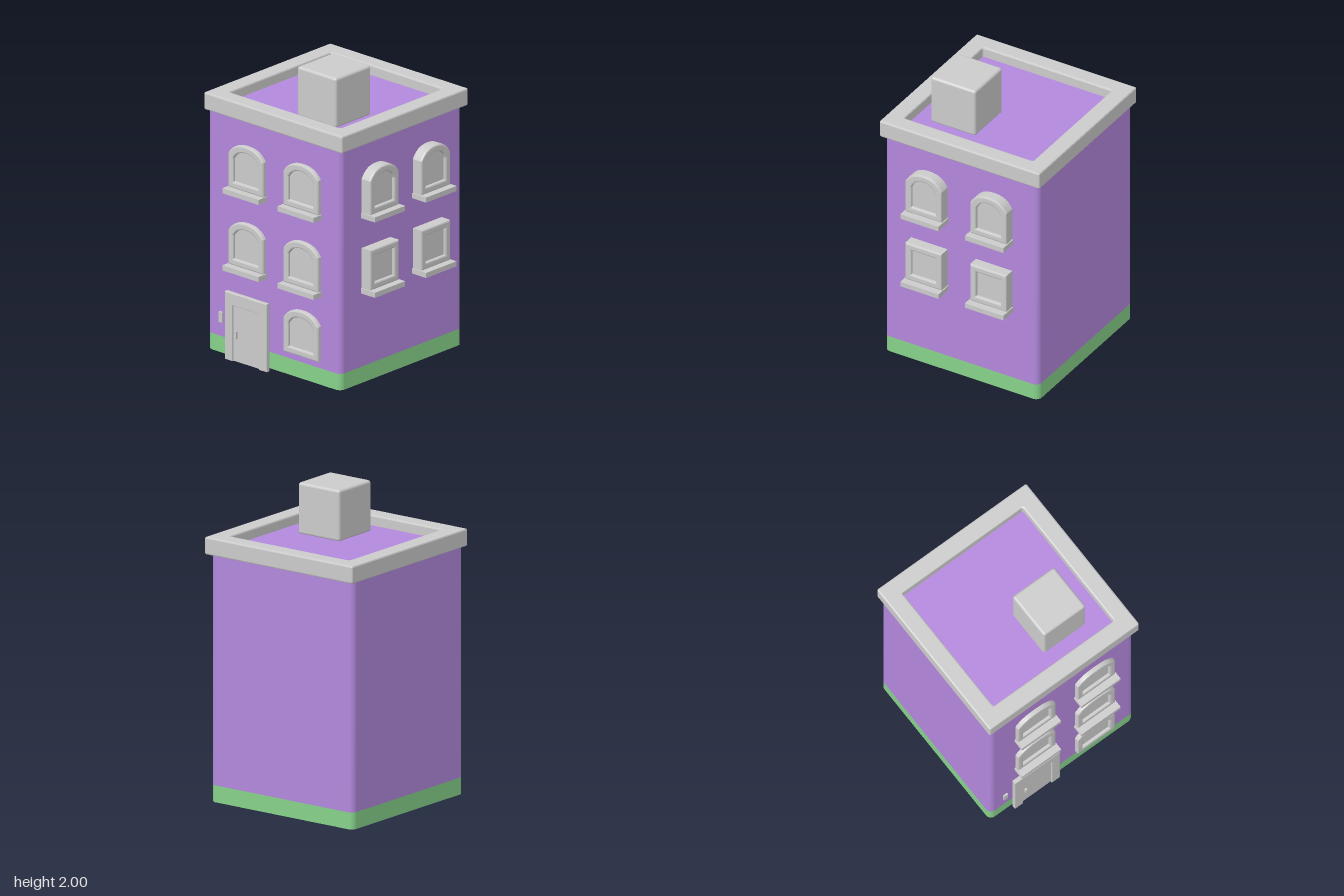
import * as THREE from 'three';
import { RoundedBoxGeometry } from 'three/addons/geometries/RoundedBoxGeometry.js';

const grey = new THREE.MeshStandardMaterial({ color: 0xcccccc });
const purple = new THREE.MeshStandardMaterial({ color: 0xb388dd, side: THREE.DoubleSide });
const green = new THREE.MeshStandardMaterial({ color: 0x86d18a, side: THREE.DoubleSide });

function add(parent, name, geometry, material, x = 0, y = 0, z = 0) {
  const mesh = new THREE.Mesh(geometry, material);
  mesh.name = name;
  mesh.position.set(x, y, z);
  parent.add(mesh);
  return mesh;
}

// Box given by its limits on each axis
function addBox(parent, name, [x0, x1], [y0, y1], [z0, z1], material = grey) {
  return add(parent, name, new THREE.BoxGeometry(x1 - x0, y1 - y0, z1 - z0), material,
    (x0 + x1) / 2, (y0 + y1) / 2, (z0 + z1) / 2);
}

// Rounded rectangle centred on the origin
function roundedRect(w, d, r) {
  const s = new THREE.Shape(), a = w / 2 - r, b = d / 2 - r, q = Math.PI / 2;
  s.absarc(a, b, r, 0, q);
  s.absarc(-a, b, r, q, 2 * q);
  s.absarc(-a, -b, r, 2 * q, 3 * q);
  s.absarc(a, -b, r, 3 * q, 4 * q);
  s.closePath();
  return s;
}

// Rectangle standing on y0 whose top bulges by rise
function archShape(w, y0, y1, rise) {
  const s = new THREE.Shape(), h = w / 2, spring = y1 - rise;
  s.moveTo(-h, y0);
  s.lineTo(h, y0);
  s.lineTo(h, spring);
  if (rise > 0) {
    s.bezierCurveTo(h * 0.75, spring + rise * 0.8, h * 0.4, y1, 0, y1);
    s.bezierCurveTo(-h * 0.4, y1, -h * 0.75, spring + rise * 0.8, -h, spring);
  } else s.lineTo(-h, spring);
  s.closePath();
  return s;
}

// Extrusion from z = back to z = front, bevelled inside the outline
function slab(shape, back, front, bevel) {
  const g = new THREE.ExtrudeGeometry(shape, {
    depth: front - back - 2 * bevel, bevelEnabled: bevel > 0, bevelSize: bevel,
    bevelThickness: bevel, bevelOffset: -bevel, bevelSegments: 2, curveSegments: 10,
  });
  return g.translate(0, 0, back + bevel);
}

// Open ring of wall around a rounded rectangle
function wallRing(outline, y0, y1) {
  const pts = outline.getPoints(6), pos = [], idx = [];
  pts.pop();
  const n = pts.length;
  pts.forEach((p) => pos.push(p.x, y0, -p.y, p.x, y1, -p.y));
  for (let i = 0; i < n; i++) {
    const a = 2 * i, b = 2 * ((i + 1) % n);
    idx.push(a, b, b + 1, a, b + 1, a + 1);
  }
  const g = new THREE.BufferGeometry();
  g.setAttribute('position', new THREE.Float32BufferAttribute(pos, 3));
  g.setIndex(idx);
  g.computeVertexNormals();
  return g;
}

// Window facing +z with the front of its frame at z = 0
function makeWindow(name, { w, h, innerW, innerTop, rise, innerRise, sill }) {
  const win = new THREE.Group();
  win.name = name;
  const frame = archShape(w, 0, h, rise);
  const opening = archShape(innerW, 0.045, innerTop, innerRise);
  frame.holes.push(opening);
  add(win, 'windowFrame', slab(frame, -0.12, 0, 0.01), grey);
  add(win, 'windowPane', slab(archShape(innerW + 0.02, 0.035, innerTop + 0.01, innerRise), -0.11, -0.02, 0), grey);
  if (sill) addBox(win, 'windowSill', [-w / 2 - 0.007, w / 2 + 0.007], [-0.032, 0.002], [-0.12, 0.045]);
  return win;
}

export function createModel() {
  const model = new THREE.Group();
  model.name = 'building';
  const cx = -0.055, cz = -0.025;

  // Hollow walls with a coloured base band, open below
  const outline = roundedRect(1.13, 1.13, 0.04);
  add(model, 'walls', wallRing(outline, 0.13, 1.67), purple, cx, 0, cz);
  add(model, 'baseBand', wallRing(outline, 0.02, 0.13), green, cx, 0, cz);
  const roof = new THREE.ShapeGeometry(outline, 6).rotateX(-Math.PI / 2);
  add(model, 'roof', roof, purple, cx, 1.67, cz);

  // Cornice frame around the roof
  const rim = roundedRect(1.175, 1.175, 0.012);
  rim.holes.push(roundedRect(0.945, 0.945, 0.012));
  const cornice = slab(rim, 0, 0.115, 0.01).rotateX(-Math.PI / 2);
  add(model, 'cornice', cornice, grey, -0.047, 1.622, -0.027);

  // Rooftop block
  add(model, 'roofBlock', new RoundedBoxGeometry(0.33, 0.335, 0.33, 3, 0.018), grey, 0.122, 1.8325, 0.175);

  // Front windows: two upper rows and one beside the door
  const frontStyle = { w: 0.295, h: 0.303, innerW: 0.21, innerTop: 0.257, rise: 0.07, innerRise: 0.055 };
  for (const [x, y, sill] of [[-0.27, 1.16, true], [0.198, 1.16, true],
    [-0.27, 0.643, true], [0.198, 0.643, true], [0.198, 0.178, false]]) {
    const win = makeWindow('frontWindow', { ...frontStyle, sill });
    win.position.set(x, y, 0.57);
    model.add(win);
  }

  // Side windows: arched above, square below
  const arched = { w: 0.267, h: 0.303, innerW: 0.18, innerTop: 0.257, rise: 0.075, innerRise: 0.065, sill: true };
  const square = { w: 0.267, h: 0.27, innerW: 0.18, innerTop: 0.225, rise: 0, innerRise: 0, sill: true };
  for (const z of [0.21, -0.265]) {
    for (const [y, style] of [[1.16, arched], [0.655, square]]) {
      const win = makeWindow('sideWindow', style);
      win.rotation.y = Math.PI / 2;
      win.position.set(0.585, y, z);
      model.add(win);
    }
  }

  // Door with surround, leaf and handle
  const door = new THREE.Group();
  door.name = 'door';
  const surround = new THREE.Shape([[-0.445, 0], [-0.38, 0], [-0.38, 0.375], [-0.155, 0.375],
    [-0.155, 0], [-0.09, 0], [-0.09, 0.455], [-0.445, 0.455]].map(([x, y]) => new THREE.Vector2(x, y)));
  add(door, 'doorSurround', slab(surround, 0.542, 0.572, 0.004), grey);
  addBox(door, 'doorLeaf', [-0.384, -0.151], [0.002, 0.379], [0.542, 0.56]);
  addBox(door, 'doorHandle', [-0.362, -0.348], [0.155, 0.205], [0.558, 0.574]);
  model.add(door);

  // Small plate beside the door
  addBox(model, 'doorbellPlate', [-0.515, -0.484], [0.225, 0.295], [0.53, 0.552]);

  return model;
}
